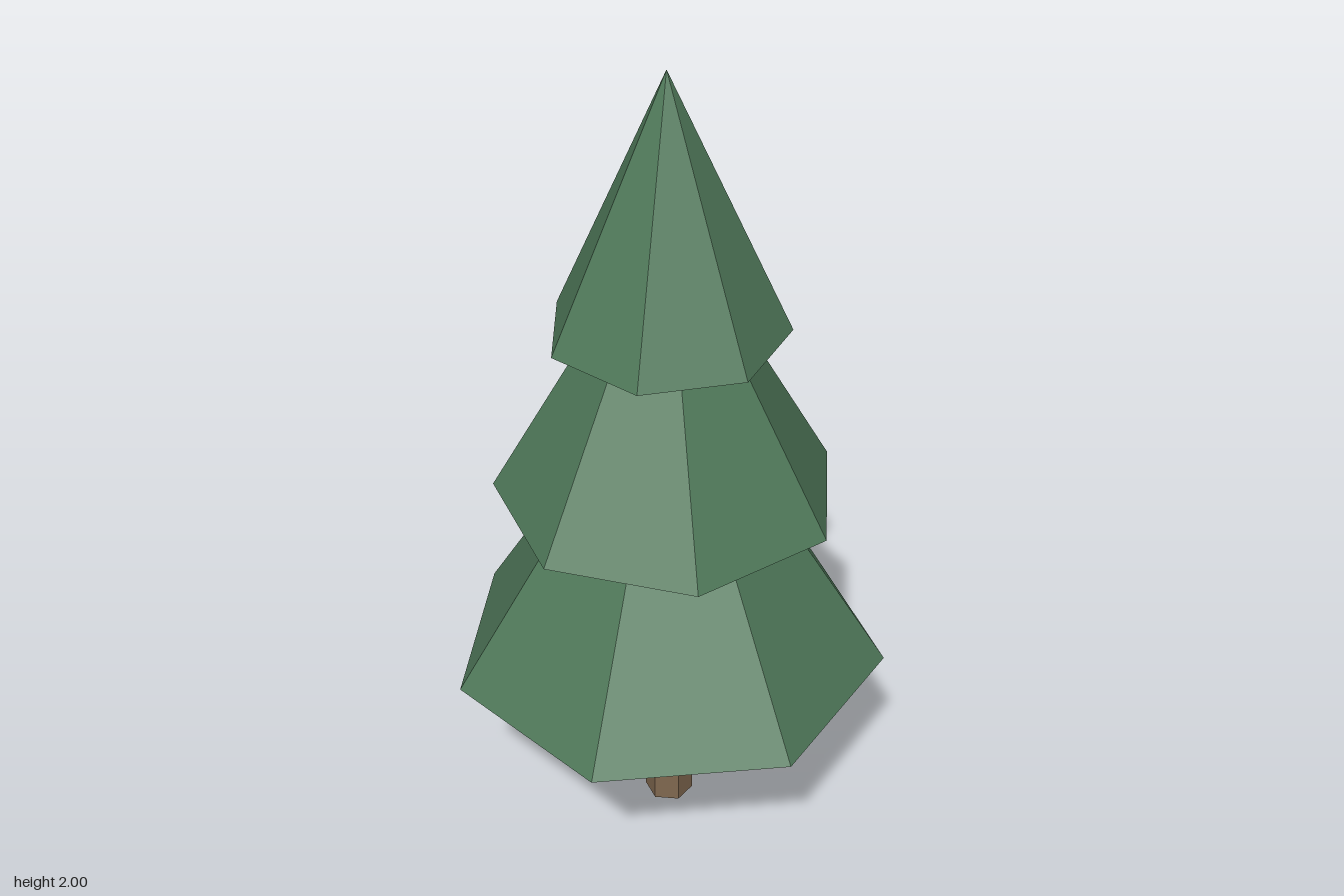
import * as THREE from 'three';

export function createModel() {
  const tree = new THREE.Group();
  tree.name = 'pineTree';

  const green = new THREE.MeshStandardMaterial({ color: 0x50795a, flatShading: true });
  green.name = 'pine green';
  const brown = new THREE.MeshStandardMaterial({ color: 0x80684f, flatShading: true });
  brown.name = 'bark brown';

  // All parts share one axis, slightly off centre because the skirt is a heptagon
  const axisX = -0.027;
  const add = (name, geometry, material, bottom, height) => {
    const mesh = new THREE.Mesh(geometry, material);
    mesh.name = name;
    mesh.position.set(axisX, bottom + height / 2, 0);
    tree.add(mesh);
  };

  // Hexagonal trunk, ending just inside the lowest foliage
  add('trunk', new THREE.CylinderGeometry(0.06, 0.06, 0.52, 6, 1, false, Math.PI / 2), brown, 0, 0.52);

  // Seven-sided foliage cones: radius, bottom, tip, turn in degrees from +x towards +z
  const tiers = [
    ['lowerFoliage', 0.53, 0.472, 1.325, 0],
    ['middleFoliage', 0.413, 0.936, 1.68, 22.8],
    ['upperFoliage', 0.281, 1.374, 2, -6],
  ];
  for (const [name, radius, bottom, tip, turn] of tiers) {
    const start = Math.PI / 2 - THREE.MathUtils.degToRad(turn);
    const cone = new THREE.ConeGeometry(radius, tip - bottom, 7, 1, false, start);
    add(name, cone, green, bottom, tip - bottom);
  }

  return tree;
}
